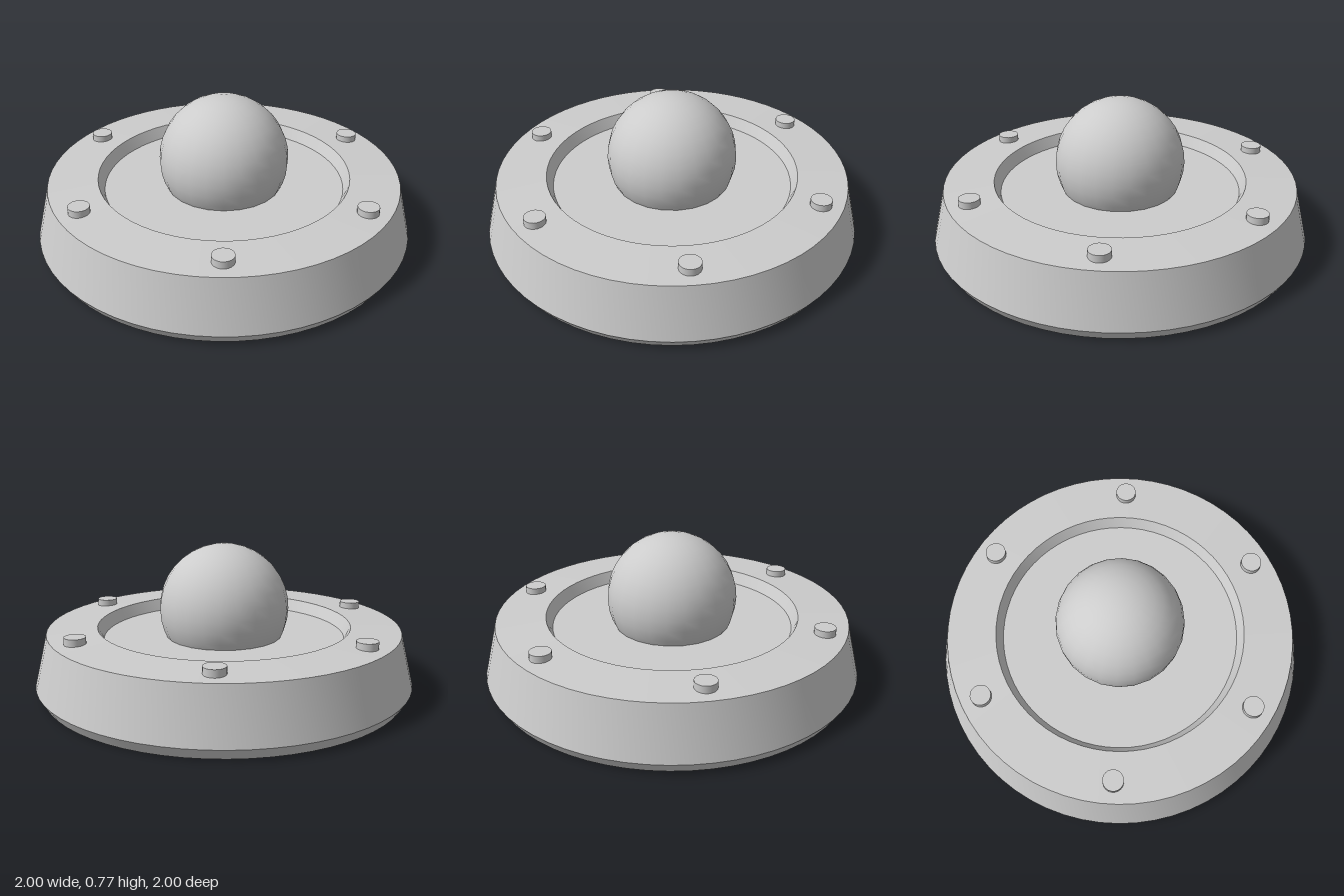
import * as THREE from 'three';
import { toCreasedNormals } from 'three/addons/utils/BufferGeometryUtils.js';

export function createModel() {
  const group = new THREE.Group();
  const grey = new THREE.MeshStandardMaterial({ name: 'light grey', color: 0xcccccc });

  const add = (name, geometry, x, y, z) => {
    const mesh = new THREE.Mesh(geometry, grey);
    mesh.name = name;
    mesh.position.set(x, y, z);
    group.add(mesh);
  };

  // Tapered round base with a bevelled foot and a shallow dish in the top
  const profile = [
    [0, 0], [0.965, 0], [1, 0.057], [0.933, 0.33],
    [0.67, 0.343], [0.638, 0.28], [0, 0.28],
  ].map(([r, y]) => new THREE.Vector2(r, y));
  add('base', toCreasedNormals(new THREE.LatheGeometry(profile, 64), 0.5), 0, 0, 0);

  // Ball sunk into the dish
  add('ball', new THREE.SphereGeometry(0.342, 24, 18), 0, 0.428, 0);

  // Ring of six bolts on the rim
  for (let i = 0; i < 6; i++) {
    const a = (i * Math.PI) / 3;
    add('bolt', new THREE.CylinderGeometry(0.055, 0.055, 0.05, 20),
      0.82 * Math.cos(a), 0.346, 0.82 * Math.sin(a));
  }
  return group;
}
